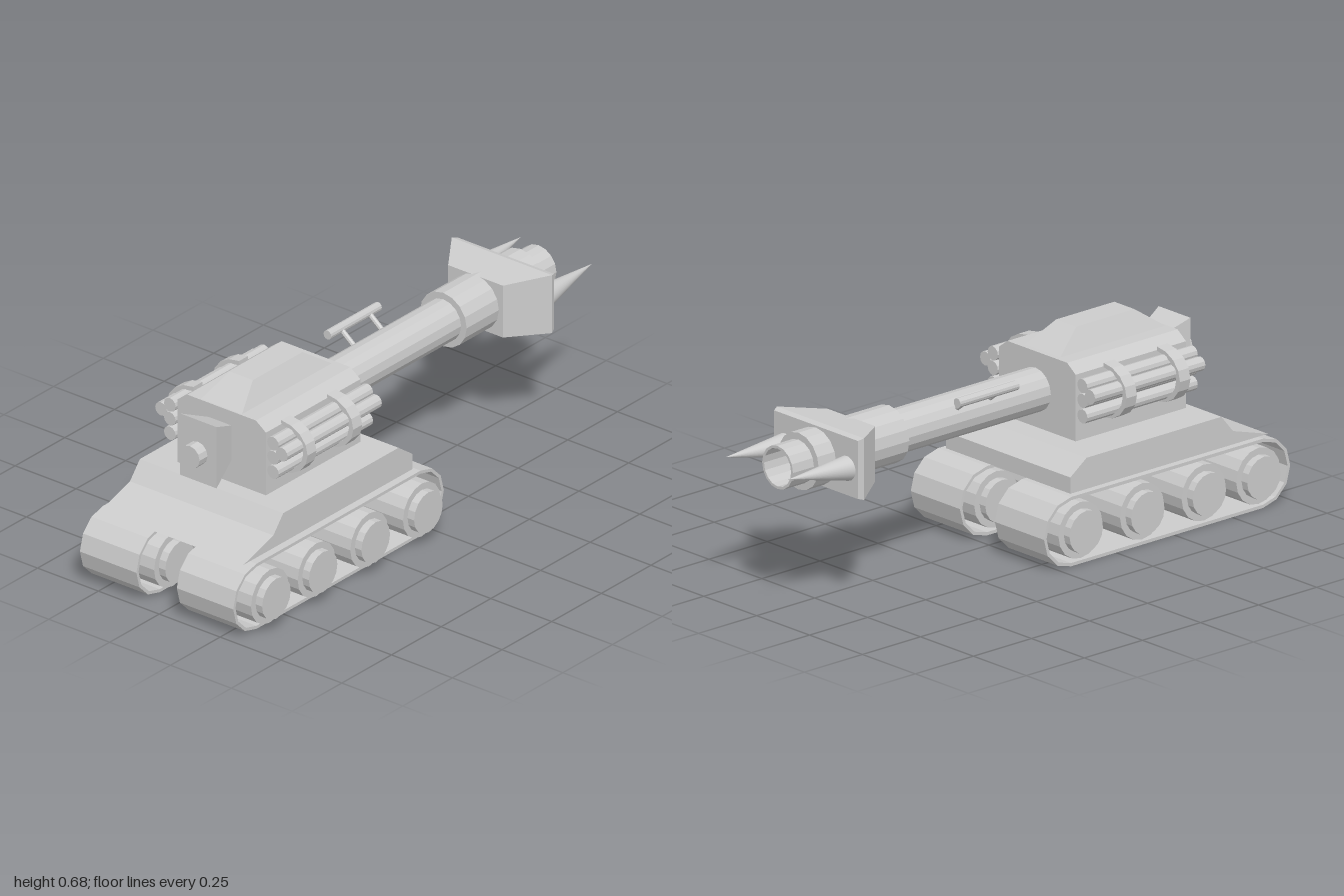
import * as THREE from 'three';

const flat = new THREE.MeshStandardMaterial({ color: 0xcccccc, flatShading: true, side: THREE.DoubleSide });
const smooth = new THREE.MeshStandardMaterial({ color: 0xcccccc, side: THREE.DoubleSide });

function add(parent, name, geometry, material = flat) {
  const mesh = new THREE.Mesh(geometry, material);
  mesh.name = name;
  parent.add(mesh);
  return mesh;
}

// Extrudes an x-y outline between two z values
function slab(shape, z0, z1) {
  return new THREE.ExtrudeGeometry(shape, { depth: z1 - z0, bevelEnabled: false }).translate(0, 0, z0);
}

// Extrudes a z-y outline between two x values (shape x becomes -z)
function slabX(shape, x0, x1) {
  return slab(shape, x0, x1).rotateY(Math.PI / 2);
}

const shapeOf = (pts) => new THREE.Shape(pts.map(([a, b]) => new THREE.Vector2(a, b)));

// Cylinder along x
function rodX(x0, x1, y, z, r, sides = 12) {
  return new THREE.CylinderGeometry(r, r, x1 - x0, sides).rotateZ(-Math.PI / 2).translate((x0 + x1) / 2, y, z);
}

// Box tapering along x; each end is [x, centre y, centre z, height, depth]
function taperX(a, b) {
  const g = new THREE.BoxGeometry(1, 1, 1);
  const p = g.attributes.position;
  for (let i = 0; i < p.count; i++) {
    const e = p.getX(i) < 0 ? a : b;
    p.setXYZ(i, e[0], e[1] + p.getY(i) * e[3], e[2] + p.getZ(i) * e[4]);
  }
  g.computeVertexNormals();
  return g;
}

// Stadium outline of a track with 12-sided ends
function stadium(r) {
  const pts = [];
  for (let i = 0; i < 14; i++) {
    const right = i < 7;
    const a = -Math.PI / 2 + (right ? i : i - 1) * Math.PI / 6;
    pts.push([(right ? -0.057 : -0.883) + r * Math.cos(a), 0.12 + r * Math.sin(a)]);
  }
  return shapeOf(pts);
}

export function createModel() {
  const model = new THREE.Group();
  model.name = 'tank';

  // Tracks with four through-wheels each
  for (const [side, zTrack, zWheel] of [['left', 0.188, 0.2], ['right', -0.21, -0.198]]) {
    const unit = new THREE.Group();
    unit.name = side + 'TrackUnit';
    model.add(unit);
    const belt = stadium(0.117);
    belt.holes.push(stadium(0.106));
    add(unit, 'trackBelt', slab(belt, zTrack - 0.116, zTrack + 0.116));
    for (const x of [-0.855, -0.62, -0.355, -0.09]) {
      for (const [name, r, w] of [['wheel', 0.095, 0.272], ['wheelHub', 0.072, 0.326]]) {
        add(unit, name, new THREE.CylinderGeometry(r, r, w, 16).rotateX(Math.PI / 2).translate(x, 0.12, zWheel));
      }
    }
  }

  // Sloped hull deck
  add(model, 'hull', slab(shapeOf([[-0.92, 0.24], [-0.07, 0.24], [-0.07, 0.295], [-0.14, 0.345],
    [-0.72, 0.345], [-0.77, 0.285]]), -0.308, 0.281));

  // Turret with chamfered roof
  add(model, 'turret', slabX(shapeOf([[-0.173, 0.355], [0.19, 0.355], [0.19, 0.58], [0.15, 0.61],
    [-0.132, 0.61], [-0.173, 0.58]]), -0.675, -0.2));

  // Roof hatch tapering upward
  const hatch = new THREE.BoxGeometry(1, 1, 1);
  const p = hatch.attributes.position;
  for (let i = 0; i < p.count; i++) {
    const top = p.getY(i) > 0;
    const back = p.getX(i) < 0;
    const x = top ? (back ? -0.57 : -0.32) : (back ? -0.672 : -0.215);
    p.setXYZ(i, x, top ? 0.68 : 0.608, -0.014 + p.getZ(i) * (top ? 0.095 : 0.17));
  }
  hatch.computeVertexNormals();
  add(model, 'roofHatch', hatch);

  // Rear exhaust
  add(model, 'exhaustFlare', taperX([-0.785, 0.497, -0.015, 0.22, 0.15], [-0.67, 0.497, -0.015, 0.12, 0.09]));
  add(model, 'exhaustPipe', rodX(-0.825, -0.77, 0.49, -0.017, 0.04));

  // Tube racks held by half-ring bands
  for (const s of [1, -1]) {
    const rack = new THREE.Group();
    rack.name = s > 0 ? 'leftTubeRack' : 'rightTubeRack';
    rack.position.z = -0.01;
    model.add(rack);
    for (const [y, z] of [[0.55, 0.212], [0.5, 0.212], [0.448, 0.212], [0.523, 0.248]]) {
      add(rack, 'rackTube', rodX(-0.675, -0.2, y, s * z, 0.024));
    }
    const arc = (rz, ry) => Array.from({ length: 9 }, (_, i) => {
      const a = -Math.PI / 2 + i * Math.PI / 8;
      return [-s * (0.18 + rz * Math.cos(a)), 0.5 + ry * Math.sin(a)];
    });
    const band = [...arc(0.109, 0.092), ...arc(0.091, 0.077).reverse()];
    for (const x of [-0.595, -0.365]) add(rack, 'rackBand', slabX(shapeOf(band), x, x + 0.045));
  }

  // Gun: barrel, thick sleeve and hollow muzzle turned as one profile
  const profile = [[0, -0.22], [0.073, -0.22], [0.073, 0.43], [0.096, 0.43], [0.096, 0.82],
    [0.073, 0.82], [0.073, 0.91], [0.064, 0.91], [0.064, 0.6], [0, 0.6]];
  const gun = new THREE.LatheGeometry(profile.map(([r, x]) => new THREE.Vector2(r, x)), 16);
  add(model, 'gunBarrel', gun.rotateZ(-Math.PI / 2).translate(0, 0.482, 0));

  // Flared collar carrying two spikes
  const collar = new THREE.Group();
  collar.name = 'muzzleCollar';
  model.add(collar);
  const mid = [0.725, 0.486, 0, 0.208, 0.412];
  add(collar, 'collarFlare', taperX([0.592, 0.482, 0, 0.186, 0.225], mid));
  add(collar, 'collarFace', taperX(mid, [0.745, 0.486, 0, 0.196, 0.396]));
  for (const s of [1, -1]) {
    const spike = new THREE.ConeGeometry(0.042, 0.26, 32).rotateZ(-Math.PI / 2);
    // Shear so the tip sits slightly above the base
    const q = spike.attributes.position;
    for (let i = 0; i < q.count; i++) q.setY(i, q.getY(i) + 0.022 * (q.getX(i) / 0.26 + 0.5));
    add(collar, s > 0 ? 'leftSpike' : 'rightSpike', spike.translate(0.87, 0.478, s * 0.146), smooth);
  }

  // Sighting tube on two posts
  add(model, 'sight', rodX(-0.015, 0.24, 0.569, -0.113, 0.016));
  for (const x of [0.047, 0.188]) {
    const post = add(model, 'sightPost', new THREE.CylinderGeometry(0.009, 0.009, 0.085, 8));
    post.position.set(x, 0.545, -0.08);
    post.rotation.x = -0.9;
  }
  return model;
}
